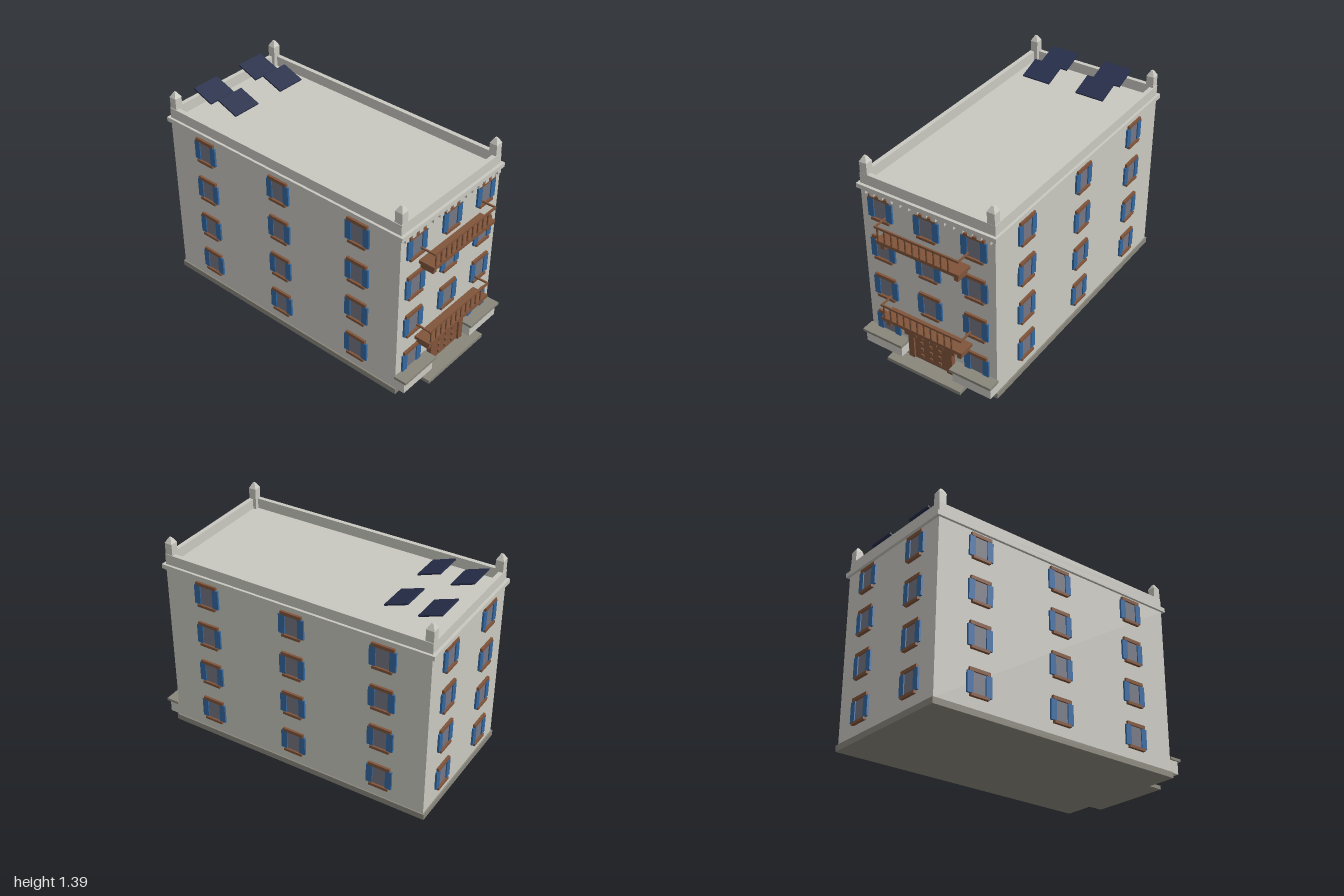
import * as THREE from 'three';

const mat = (name, color) => {
  const m = new THREE.MeshStandardMaterial({ color });
  m.name = name;
  return m;
};

export function createModel() {
  const stone = mat('pale stone', 0xc9c8c0);
  const darkStone = mat('dark stone', 0x89867b);
  const wood = mat('brown wood', 0x80543a);
  const blue = mat('shutter blue', 0x3468a0);
  const glass = mat('window glass', 0x747682);
  const navy = mat('solar navy', 0x272e4a);

  const model = new THREE.Group();
  model.name = 'townHouse';

  // Box given by its extents on each axis
  const box = (parent, name, m, x0, x1, y0, y1, z0, z1) => {
    const mesh = new THREE.Mesh(new THREE.BoxGeometry(x1 - x0, y1 - y0, z1 - z0), m);
    mesh.position.set((x0 + x1) / 2, (y0 + y1) / 2, (z0 + z1) / 2);
    mesh.name = name;
    parent.add(mesh);
    return mesh;
  };
  const group = (name, parent = model) => {
    const g = new THREE.Group();
    g.name = name;
    parent.add(g);
    return g;
  };

  const W = 0.475, F = 0.887, B = -0.975, MID = (F + B) / 2;

  // Main volume
  box(model, 'base', darkStone, -0.485, 0.485, 0, 0.04, -0.985, 0.897);
  box(model, 'frontStep', darkStone, -0.28, 0.28, 0, 0.025, 0.897, 1.0);
  box(model, 'walls', stone, -W, W, 0.04, 1.18, B, F);
  box(model, 'cornice', stone, -0.492, 0.492, 1.18, 1.21, -0.995, 0.907);

  // Parapet with a post and pyramid cap on each corner
  const parapet = group('parapet');
  const T = 0.03;
  for (const s of [-1, 1]) {
    const xa = s * W, xb = s * (W - T);
    box(parapet, 'sideParapet', stone, Math.min(xa, xb), Math.max(xa, xb), 1.21, 1.28, B, F);
  }
  box(parapet, 'frontParapet', stone, -W + T, W - T, 1.21, 1.28, F - T, F);
  box(parapet, 'backParapet', stone, -W + T, W - T, 1.21, 1.28, B, B + T);
  for (const x of [-0.445, 0.445]) for (const z of [F - 0.027, B + 0.027]) {
    const p = group('cornerPinnacle');
    p.position.set(x, 0, z);
    box(p, 'pinnaclePost', stone, -0.026, 0.026, 1.21, 1.355, -0.026, 0.026);
    const geo = new THREE.CylinderGeometry(0.01, 0.038, 0.036, 4).rotateY(Math.PI / 4).toNonIndexed();
    geo.computeVertexNormals();
    const cap = new THREE.Mesh(geo, stone);
    cap.name = 'pinnacleCap';
    cap.position.y = 1.373;
    p.add(cap);
  }

  // Row of blocks below the front cornice
  const dentils = group('dentils');
  for (let i = 0; i < 15; i++) {
    const x = -0.441 + i * 0.063;
    box(dentils, 'dentil', stone, x - 0.016, x + 0.016, 1.156, 1.18, F, 0.907);
  }

  // One shuttered window facing +z, with the wall at z = 0
  const addWindow = (x, y, z, turn) => {
    const w = group('window');
    box(w, 'pane', glass, -0.046, 0.046, 0, 0.133, 0, 0.006);
    for (const s of [-1, 1])
      box(w, 'shutter', blue, s * 0.067 - 0.0215, s * 0.067 + 0.0215, 0, 0.133, 0, 0.013);
    box(w, 'lintel', wood, -0.075, 0.075, 0.133, 0.156, 0, 0.016);
    box(w, 'sill', wood, -0.066, 0.066, -0.018, 0, 0, 0.02);
    w.position.set(x, y, z);
    w.rotation.y = turn;
  };
  for (let row = 0; row < 4; row++) {
    const y = 0.132 + row * 0.2915;
    for (const x of [-0.333, 0, 0.333]) {
      if (row === 0 && x === 0) continue; // the door is here
      addWindow(x, y, F, 0);
    }
    for (const x of [-0.25, 0.25]) addWindow(x, y, B, Math.PI);
    for (let i = -1; i <= 1; i++) {
      addWindow(W, y, MID + i * 0.622, Math.PI / 2);
      addWindow(-W, y, MID + i * 0.622, -Math.PI / 2);
    }
  }

  // Balconies: slab, brackets, balusters and rails
  for (const y of [0.324, 0.912]) {
    const b = group('balcony');
    b.position.y = y;
    box(b, 'balconySlab', wood, -0.3, 0.3, 0, 0.023, F, 0.998);
    for (const s of [-1, 1]) {
      box(b, 'bracket', wood, s * 0.265 - 0.015, s * 0.265 + 0.015, -0.045, 0, F, 0.978);
      box(b, 'sideRail', wood, s * 0.295 - 0.005, s * 0.295 + 0.005, 0.111, 0.121, F, 0.988);
    }
    for (let i = 0; i < 11; i++) {
      const x = -0.28 + i * 0.0505;
      box(b, 'baluster', wood, x - 0.005, x + 0.005, 0.023, 0.108, 0.989, 0.997);
    }
    box(b, 'frontRail', wood, -0.3, 0.3, 0.107, 0.121, 0.988, 0.998);
  }

  // Studded door with frame and header
  const door = group('door');
  box(door, 'doorPanel', wood, -0.124, 0.124, 0.04, 0.213, F, 0.907);
  for (const s of [-1, 1])
    box(door, 'doorJamb', wood, s * 0.1445 - 0.0205, s * 0.1445 + 0.0205, 0.04, 0.213, F, 0.92);
  box(door, 'doorHeader', wood, -0.19, 0.19, 0.213, 0.264, F, 0.926);
  for (const x of [-0.068, 0, 0.068]) for (const y of [0.077, 0.127, 0.177])
    box(door, 'doorStud', wood, x - 0.01, x + 0.01, y - 0.01, y + 0.01, 0.907, 0.916);
  for (let i = -2; i <= 2; i++)
    box(door, 'headerStud', wood, i * 0.051 - 0.01, i * 0.051 + 0.01, 0.229, 0.249, 0.926, 0.935);

  // Low garden walls beside the door
  for (const s of [-1, 1]) {
    const g = group('lowWall');
    box(g, 'lowWallBody', stone, s * 0.335 - 0.14, s * 0.335 + 0.14, 0.04, 0.125, F, 0.957);
    box(g, 'lowWallCap', darkStone, s * 0.334 - 0.152, s * 0.334 + 0.152, 0.125, 0.143, F, 0.975);
  }

  // Tilted roof panels
  for (const x of [-0.2, 0.2]) for (const z of [-0.64, -0.86]) {
    const p = box(model, 'solarPanel', navy, x - 0.1, x + 0.1, 1.322, 1.332, z - 0.08, z + 0.08);
    p.rotation.x = THREE.MathUtils.degToRad(20);
  }

  return model;
}
